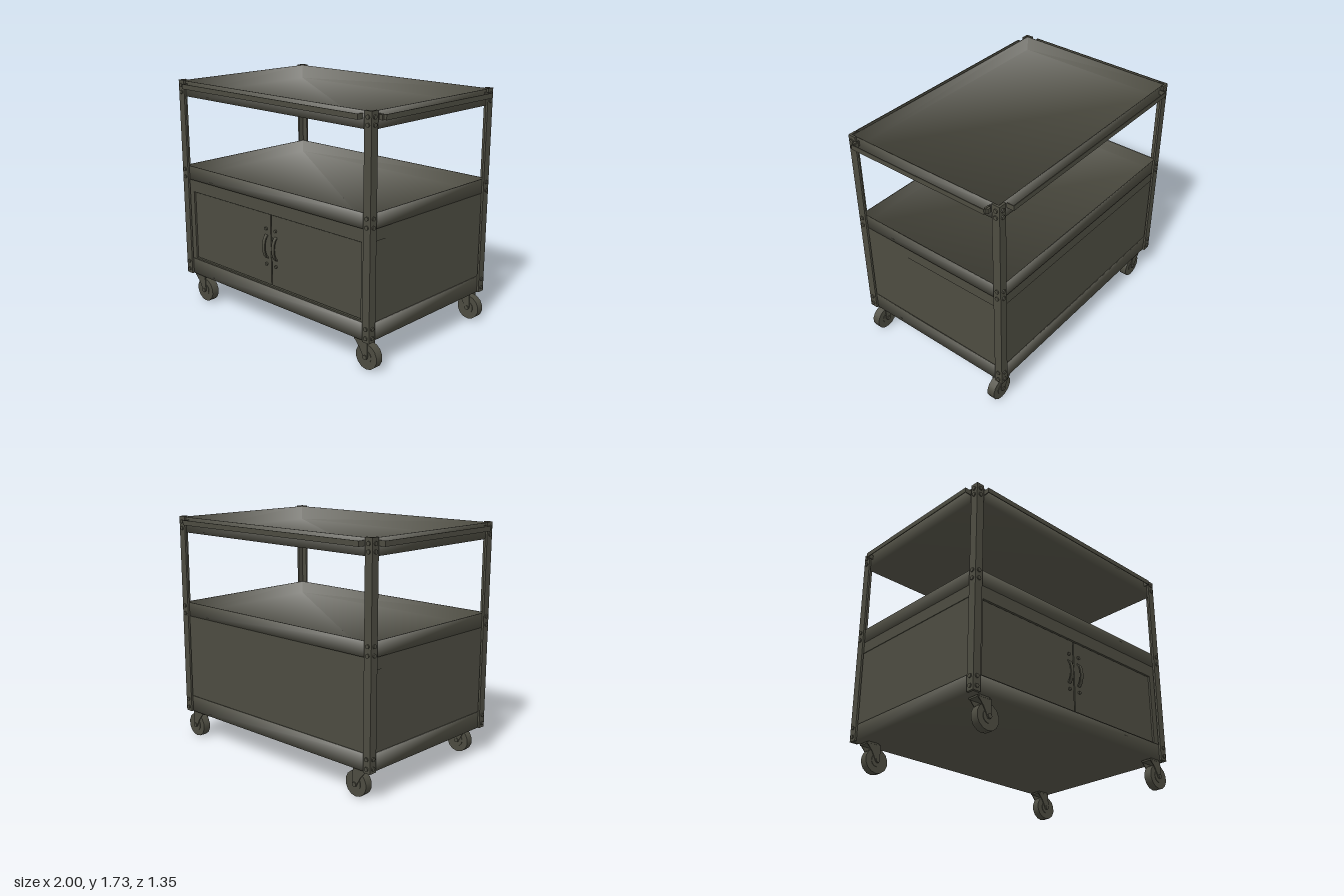
import * as THREE from 'three';

const olive = new THREE.MeshStandardMaterial({ color: 0x4d4c41, side: THREE.DoubleSide });
olive.name = 'dark olive paint';

function add(parent, name, geometry, x = 0, y = 0, z = 0) {
  const mesh = new THREE.Mesh(geometry, olive);
  mesh.name = name;
  mesh.position.set(x, y, z);
  parent.add(mesh);
  return mesh;
}

const box = (w, h, d) => new THREE.BoxGeometry(w, h, d);

// open sheet-metal tray with softly shaded corners, built from four rings of corners
function tray(w, d, y0, y1) {
  const t = 0.008;
  const corners = [[1, 1], [1, -1], [-1, -1], [-1, 1]];
  // inset, height, horizontal and vertical direction of the normal
  const rings = [[0, y0, 1, -1], [0, y1, 1, 1], [t, y1, -1, 1], [t, y0 + t, -1, 1]];
  const positions = [], normals = [], index = [];
  const k = Math.sqrt(1 / 3);
  rings.forEach(([inset, y, out, up], r) => corners.forEach(([cx, cz], j) => {
    positions.push(cx * (w / 2 - inset), y, cz * (d / 2 - inset));
    normals.push(cx * out * k, up * k, cz * out * k);
    if (r === 3) return;
    const a = r * 4 + j, b = r * 4 + (j + 1) % 4;
    index.push(a, b, b + 4, a, b + 4, a + 4);
  }));
  index.push(0, 2, 1, 0, 3, 2); // underside
  index.push(12, 13, 14, 12, 14, 15); // floor
  const g = new THREE.BufferGeometry();
  g.setAttribute('position', new THREE.Float32BufferAttribute(positions, 3));
  g.setAttribute('normal', new THREE.Float32BufferAttribute(normals, 3));
  g.setIndex(index);
  return g;
}

// bolt head pointing along 'x' or 'z'
function bolt(parent, axis, x, y, z, r = 0.015, length = 0.016) {
  const m = add(parent, 'bolt', new THREE.CylinderGeometry(r, r, length, 8), x, y, z);
  if (axis === 'x') m.rotation.z = Math.PI / 2;
  else m.rotation.x = Math.PI / 2;
}

// thin standoff rail of the given length, reaching out along +z
function rail(length, depth) {
  const g = new THREE.Group();
  g.name = 'rail';
  const t = 0.006, h = 0.036;
  add(g, 'railBar', box(length, h, t), 0, 0, depth - t / 2);
  for (const s of [-1, 1]) add(g, 'railEnd', box(t, h, depth), s * (length / 2 - t / 2), 0, depth / 2);
  return g;
}

// swivel caster with its wheel trailing towards +x
function caster() {
  const g = new THREE.Group();
  g.name = 'caster';
  const turned = (name, r, width) => {
    add(g, name, new THREE.CylinderGeometry(r, r, width, 14), 0, 0.094, 0).rotation.x = Math.PI / 2;
  };
  turned('wheel', 0.091, 0.058);
  turned('hub', 0.045, 0.066);
  turned('axle', 0.016, 0.096);
  const fork = new THREE.Shape([
    [-0.1, 0.207], [0.015, 0.207], [0.02, 0.1], [0.01, 0.08], [-0.012, 0.08], [-0.022, 0.1], [-0.05, 0.15]
  ].map(p => new THREE.Vector2(...p)));
  const forkGeometry = new THREE.ExtrudeGeometry(fork, { depth: 0.006, bevelEnabled: false });
  for (const z of [0.035, -0.041]) add(g, 'forkPlate', forkGeometry, 0, 0, z);
  add(g, 'forkCrown', box(0.115, 0.012, 0.08), -0.043, 0.202, 0);
  add(g, 'swivelPlate', box(0.09, 0.012, 0.085), -0.043, 0.209, 0);
  return g;
}

// bowed strap handle, profile in depth and height
function doorHandle() {
  const s = new THREE.Shape();
  s.moveTo(0, -0.09);
  s.bezierCurveTo(0.048, -0.065, 0.048, 0.065, 0, 0.09);
  s.lineTo(0, 0.078);
  s.bezierCurveTo(0.036, 0.055, 0.036, -0.055, 0, -0.078);
  const g = new THREE.ExtrudeGeometry(s, { depth: 0.027, bevelEnabled: false, curveSegments: 10 });
  g.translate(0, 0, -0.0135);
  g.rotateY(-Math.PI / 2);
  return g;
}

export function createModel() {
  const cart = new THREE.Group();
  cart.name = 'utilityCart';
  const body = new THREE.Group();
  body.name = 'body';
  body.position.x = -0.008;
  cart.add(body);

  const W = 0.955, D = 0.643; // half extents at the outer faces of the posts

  // three tray shelves: bottom, middle, top
  for (const [name, y0, y1] of [['bottomShelf', 0.213, 0.335], ['middleShelf', 0.975, 1.08], ['topShelf', 1.613, 1.727]]) {
    add(body, name, tray(1.88, 1.252, y0, y1));
  }

  // angle-iron corner posts with bolts
  const t = 0.016, w = 0.06, y0 = 0.213, h = 1.52;
  for (const sx of [-1, 1]) for (const sz of [-1, 1]) {
    const post = new THREE.Group();
    post.name = 'cornerPost';
    body.add(post);
    add(post, 'postFrontFlange', box(w, h, t), sx * (W - w / 2), y0 + h / 2, sz * (D - t / 2));
    add(post, 'postSideFlange', box(t, h, w), sx * (W - t / 2), y0 + h / 2, sz * (D - w / 2));
    for (const y of [0.245, 0.31, 0.995, 1.055, 1.645, 1.695]) {
      bolt(post, 'z', sx * (W - 0.029), y, sz * D);
      bolt(post, 'x', sx * W, y, sz * (D - 0.029));
    }
  }

  // cabinet shell: sides and back with a raised strip along the top
  for (const s of [-1, 1]) {
    add(body, 'sidePanel', box(0.02, 0.67, 1.22), s * 0.92, 0.557, 0);
    add(body, 'sideHeader', box(0.02, 0.085, 1.23), s * 0.925, 0.932, 0);
  }
  add(body, 'backPanel', box(1.84, 0.67, 0.02), 0, 0.557, -0.605);
  add(body, 'backHeader', box(1.85, 0.085, 0.02), 0, 0.932, -0.61);

  // front frame around the doors
  const frame = new THREE.Shape([[-0.92, 0.23], [0.92, 0.23], [0.92, 0.974], [-0.92, 0.974]].map(p => new THREE.Vector2(...p)));
  frame.holes.push(new THREE.Path([[-0.863, 0.345], [-0.863, 0.88], [0.858, 0.88], [0.858, 0.345]].map(p => new THREE.Vector2(...p))));
  add(body, 'doorFrame', new THREE.ExtrudeGeometry(frame, { depth: 0.027, bevelEnabled: false }), 0, 0, 0.59);

  // pair of doors with handles, over a backing behind the gap
  add(body, 'doorBacking', box(1.8, 0.6, 0.01), 0, 0.63, 0.582);
  for (const s of [-1, 1]) {
    const door = new THREE.Group();
    door.name = s < 0 ? 'rightDoor' : 'leftDoor';
    body.add(door);
    add(door, 'doorPanel', box(0.848, 0.525, 0.016), s * 0.429 - 0.002, 0.6125, 0.6);
    add(door, 'handle', doorHandle(), s * 0.0485 - 0.003, 0.632, 0.606);
    for (const y of [0.5, 0.765]) bolt(door, 'z', s * 0.0485 - 0.003, y, 0.613, 0.012, 0.014);
  }

  // rails around the top shelf
  for (const [length, depth, x, z, angle] of [
    [1.745, 0.047, -0.005, 0.625, 0], [1.745, 0.055, -0.005, -0.625, Math.PI],
    [1.13, 0.066, 0.94, 0, Math.PI / 2], [1.13, 0.052, -0.94, 0, -Math.PI / 2]
  ]) {
    const r = rail(length, depth);
    r.position.set(x, 1.692, z);
    r.rotation.y = angle;
    body.add(r);
  }
  // brackets at the ends of the left rail
  for (const s of [-1, 1]) add(body, 'railBracket', box(0.03, 0.034, 0.03), 0.971, 1.69, s * 0.565);

  // four casters
  for (const x of [-0.8, 0.89]) for (const z of [-0.567, 0.574]) {
    const c = caster();
    c.position.set(x, -0.002, z);
    cart.add(c);
  }
  return cart;
}
